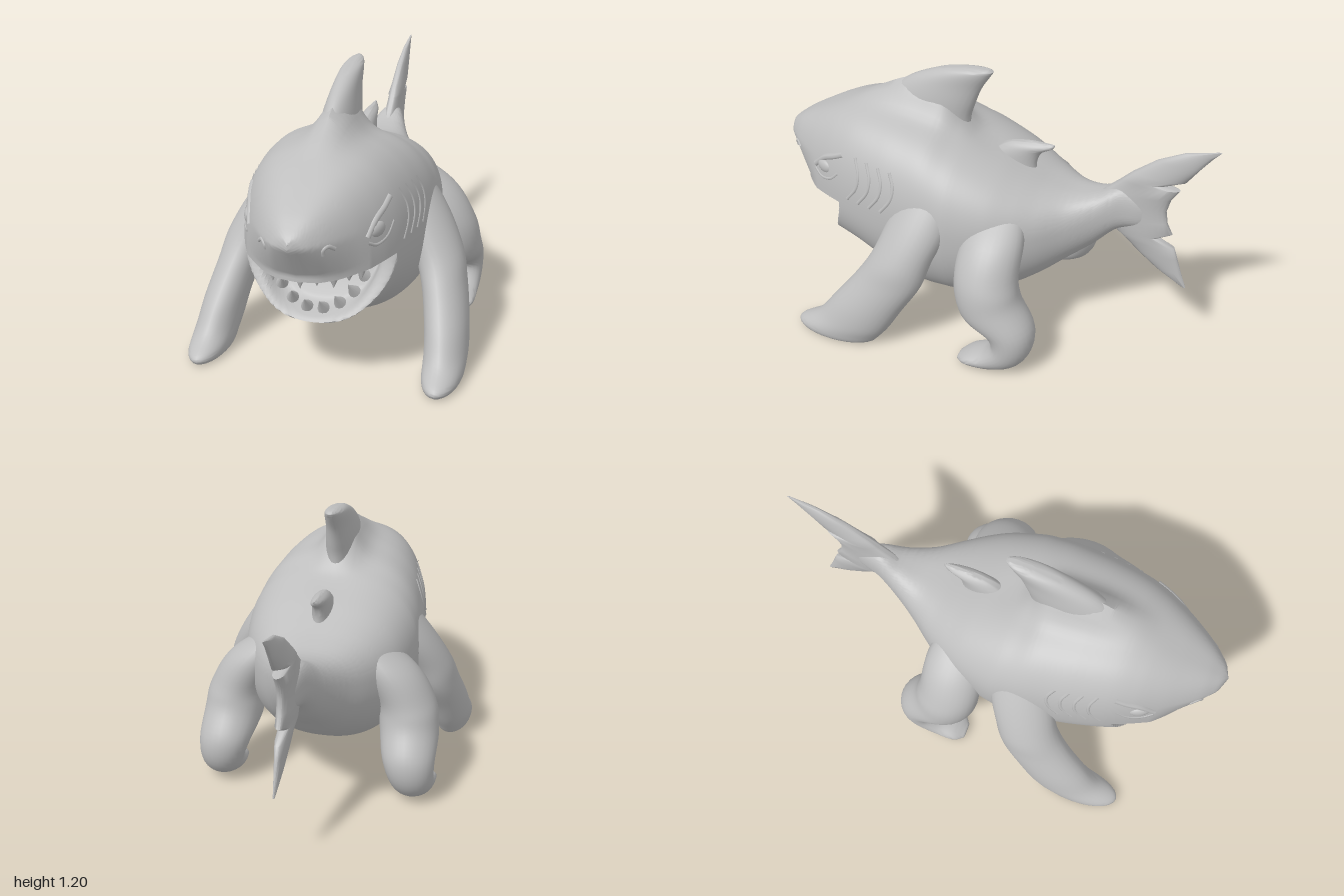
import * as THREE from 'three';
import { toCreasedNormals } from 'three/addons/utils/BufferGeometryUtils.js';

const skinGrey = new THREE.MeshStandardMaterial({ color: 0xbebebe });
skinGrey.name = 'skin grey';
const { clamp, smoothstep } = THREE.MathUtils;

// Smooth lookup in rows whose first column is the parameter
function at(rows, t) {
  const n = rows.length;
  let i = 0;
  while (i < n - 2 && t > rows[i + 1][0]) i++;
  const a = rows[i], b = rows[i + 1], p = rows[Math.max(i - 1, 0)], q = rows[Math.min(i + 2, n - 1)];
  const h = b[0] - a[0], s = clamp((t - a[0]) / h, 0, 1);
  return a.map((v, k) => {
    const m0 = (b[k] - p[k]) / (b[0] - p[0]) * h, m1 = (q[k] - a[k]) / (q[0] - a[0]) * h;
    return v + s * m0 + s * s * (3 * (b[k] - v) - 2 * m0 - m1) + s * s * s * (2 * (v - b[k]) + m0 + m1);
  });
}

// Closed rings of points joined into a surface that faces outwards
function skin(rings, caps, crease) {
  const m = rings[0].length, pos = rings.flat(2), idx = [];
  for (let i = 0; i < rings.length - 1; i++) {
    for (let j = 0; j < m; j++) {
      const a = i * m + j, b = i * m + (j + 1) % m;
      idx.push(a, b, a + m, b, b + m, a + m);
    }
  }
  if (caps) {
    [0, rings.length - 1].forEach((r) => {
      const c = pos.length / 3;
      for (let k = 0; k < 3; k++) pos.push(rings[r].reduce((s, p) => s + p[k], 0) / m);
      for (let j = 0; j < m; j++) {
        const a = r * m + j, b = r * m + (j + 1) % m;
        idx.push(...(r ? [a, b, c] : [b, a, c]));
      }
    });
  }
  const P = (i) => new THREE.Vector3().fromArray(pos, i * 3);
  let volume = 0;
  for (let i = 0; i < idx.length; i += 3) volume += P(idx[i]).dot(P(idx[i + 1]).cross(P(idx[i + 2])));
  if (volume < 0) idx.reverse();
  const g = new THREE.BufferGeometry();
  g.setAttribute('position', new THREE.Float32BufferAttribute(pos, 3));
  g.setIndex(idx);
  return toCreasedNormals(g, crease);
}

// Elliptical sections [x, y, z, half width, half depth, pitch]; never dips below the floor
function loft(sections, side = 1, smooth = 6) {
  const rows = sections.map((s, i) => [i, ...s]), rings = [];
  for (let i = 0; i <= (rows.length - 1) * smooth; i++) {
    const [, x, y, z, rx, r, pitch] = at(rows, i / smooth);
    rings.push(Array.from({ length: 28 }, (_, j) => {
      const a = j / 28 * Math.PI * 2, c = Math.cos(a) * rx, s = Math.sin(a) * r;
      return [side * (x + c), Math.max(0, y + s * Math.sin(pitch)), z + s * Math.cos(pitch)];
    }));
  }
  return skin(rings, true, 1.1);
}

// Fin sections [y, leading z, trailing z, half thickness]
const fin = (rows, smooth) =>
  loft(rows.map(([y, f, b, t]) => [0, y, (f + b) / 2, t, (f - b) / 2, 0]), 1, smooth);

// Body profile: [z, top, mouth level, bottom, half width, crest height]
const PROFILE = [
  [-0.78, 0.71, 0.66, 0.62, 0, 0], [-0.7, 0.745, 0.66, 0.6, 0.035, 0], [-0.6, 0.775, 0.66, 0.57, 0.065, 0],
  [-0.5, 0.735, 0.62, 0.47, 0.11, 0], [-0.4, 0.72, 0.58, 0.385, 0.17, 0], [-0.3, 0.74, 0.56, 0.30, 0.245, 0],
  [-0.2, 0.78, 0.55, 0.23, 0.31, 0], [-0.1, 0.825, 0.55, 0.175, 0.355, 0], [0.05, 0.885, 0.55, 0.135, 0.39, 0],
  [0.12, 0.91, 0.55, 0.13, 0.392, 0.05], [0.2, 0.94, 0.55, 0.13, 0.39, 0.15], [0.3, 0.955, 0.555, 0.15, 0.38, 0.15],
  [0.4, 0.965, 0.56, 0.185, 0.367, 0.12], [0.55, 0.965, 0.57, 0.255, 0.335, 0.045],
  [0.65, 0.945, 0.57, 0.275, 0.3, 0.01], [0.73, 0.915, 0.565, 0.285, 0.262, 0], [0.8, 0.88, 0.56, 0.36, 0.225, 0],
  [0.9, 0.825, 0.55, 0.48, 0.16, 0], [0.95, 0.79, 0.547, 0.52, 0.115, 0], [0.98, 0.765, 0.545, 0.535, 0.075, 0],
  [1, 0.74, 0.545, 0.545, 0, 0],
];
const lipZ = (y) => 0.6 + 0.13 * clamp((0.57 - y) / 0.285, 0, 1) ** 1.6;
const bend = (v, e) => Math.sign(v) * Math.abs(v) ** e;
// The underside of the snout slopes back to the upper lip
const slope = (z, y) => z - clamp((z - 0.75) / 0.25, 0, 1) * clamp((0.72 - y) / 0.15, 0, 1) * 0.1;

// Point on the flank above the mouth level
function flank(side, z, y, out) {
  const [, top, mid, , w] = at(PROFILE, z);
  const s = clamp((y - mid) / (top - mid), 0, 1) ** (1 / 0.9);
  return new THREE.Vector3(side * (w * (1 - s * s) ** 0.35 + out), y, slope(z, y));
}

// Body whose lower front is folded back behind a thick lip to open the mouth
function bodyGeometry() {
  const rings = [], N = 64;
  for (let i = 0; i <= 178; i++) {
    const z = -0.78 + i * 0.01, [, top, mid, bottom, w, crest] = at(PROFILE, z), ring = [];
    for (let j = 0; j <= N; j++) {
      const a = j / N * Math.PI, x = w * bend(Math.cos(a), 0.7);
      const y = mid + (top - mid) * Math.abs(Math.sin(a)) ** 0.9;
      ring.push([x, y + crest * Math.exp(-((x / 0.08) ** 2)), slope(z, y)]);
    }
    for (let j = 0; j <= N; j++) {
      const a = j / N * Math.PI, y = mid - (mid - bottom) * Math.abs(Math.sin(a)) ** 0.9;
      const lip = lipZ(y), past = z - lip, squeeze = 1 - 0.16 * smoothstep(past, 0, 0.04);
      ring.push([-w * squeeze * bend(Math.cos(a), 0.85), y,
        past > 0 ? lip - 0.09 * smoothstep(past, 0.02, 0.08) : z]);
    }
    rings.push(ring);
  }
  return skin(rings, false, 0.9);
}

export function createModel() {
  const model = new THREE.Group();
  model.name = 'walkingShark';
  const add = (name, geometry) => {
    const mesh = new THREE.Mesh(geometry, skinGrey);
    mesh.name = name;
    model.add(mesh);
    return mesh;
  };
  const ridge = (name, points, r) =>
    add(name, new THREE.TubeGeometry(new THREE.CatmullRomCurve3(points), 16, r, 8));

  add('body', bodyGeometry());

  // Fins on the back and the notched tail
  add('dorsalFin', fin([
    [0.85, 0.5, 0.1, 0.07], [0.95, 0.5, 0.095, 0.075], [1.02, 0.47, 0.075, 0.07], [1.1, 0.38, 0.045, 0.056],
    [1.165, 0.24, 0.005, 0.045], [1.19, 0.13, -0.01, 0.03], [1.2, 0.05, 0.0, 0.005]], 6));
  add('rearDorsalFin', fin([
    [0.74, 0.03, -0.215, 0.05], [0.8, 0.01, -0.215, 0.045], [0.85, -0.04, -0.235, 0.038],
    [0.88, -0.09, -0.285, 0.028], [0.9, -0.17, -0.295, 0.006]], 5));
  add('tailFin', fin([
    [0.33, -0.9, -0.915, 0.004], [0.4, -0.78, -0.89, 0.014], [0.47, -0.69, -0.868, 0.022],
    [0.525, -0.63, -0.85, 0.028], [0.557, -0.59, -0.775, 0.032], [0.59, -0.56, -0.835, 0.034],
    [0.64, -0.5, -0.81, 0.036], [0.7, -0.48, -0.8, 0.036], [0.76, -0.535, -0.815, 0.036],
    [0.815, -0.595, -0.85, 0.034], [0.825, -0.605, -0.785, 0.034], [0.86, -0.64, -0.87, 0.03],
    [0.94, -0.74, -0.925, 0.022], [1, -0.855, -0.97, 0.012], [1.033, -0.985, -1, 0.003]], 1));

  for (const side of [1, -1]) {
    const tag = side > 0 ? 'left' : 'right';

    // Flipper-like front legs and bent hind legs
    add(tag + 'FrontLeg', loft([
      [0.2, 0.84, 0.13, 0.06, 0.1, 0], [0.315, 0.62, 0.18, 0.11, 0.14, 0], [0.413, 0.45, 0.24, 0.105, 0.138, 0],
      [0.455, 0.33, 0.295, 0.095, 0.155, 0], [0.487, 0.2, 0.385, 0.092, 0.165, 0], [0.502, 0.1, 0.455, 0.09, 0.175, 0],
      [0.507, 0.04, 0.525, 0.086, 0.2, 0], [0.507, 0.012, 0.54, 0.08, 0.19, 0], [0.507, 0, 0.54, 0.068, 0.165, 0]], side));
    add(tag + 'HindLeg', loft([
      [0.17, 0.71, -0.14, 0.05, 0.08, 0], [0.29, 0.58, -0.14, 0.12, 0.13, 0], [0.38, 0.43, -0.14, 0.125, 0.14, 0],
      [0.4, 0.3, -0.17, 0.13, 0.14, -0.35], [0.415, 0.2, -0.265, 0.115, 0.11, -0.1],
      [0.43, 0.11, -0.26, 0.097, 0.088, 0.7], [0.435, 0.05, -0.18, 0.087, 0.055, 1.4],
      [0.442, 0.03, -0.09, 0.075, 0.03, 1.57], [0.45, 0.018, -0.045, 0.035, 0.012, 1.57]], side));

    // Eye under an angry brow
    const eye = add(tag + 'Eye', new THREE.SphereGeometry(1, 20, 14));
    eye.scale.set(0.02, 0.032, 0.046);
    eye.position.copy(flank(side, 0.69, 0.705, -0.009));
    eye.rotation.y = -side * 0.4;
    ridge(tag + 'Brow', [[0.58, 0.8], [0.63, 0.775], [0.69, 0.745], [0.75, 0.69]]
      .map(([z, y]) => flank(side, z, y, -0.008)), 0.016);
    ridge(tag + 'EyeFold', [[0.6, 0.71], [0.65, 0.665], [0.71, 0.65], [0.75, 0.67]]
      .map(([z, y]) => flank(side, z, y, -0.006)), 0.009);

    // Gill folds
    [0.51, 0.45, 0.39, 0.33].forEach((z, i) => ridge(tag + 'Gill' + (i + 1),
      [[0, 0.81 - i * 0.005], [-0.025, 0.74], [-0.015, 0.68], [0.035, 0.61]]
        .map(([dz, y]) => flank(side, z + dz, y, -0.006)), 0.01));

    // Nostril fold
    ridge(tag + 'Nostril', [[0.89, 0.695], [0.91, 0.712], [0.93, 0.7], [0.935, 0.68]]
      .map(([z, y]) => flank(side, z, y, -0.006)), 0.01);
  }

  // Teeth: cones along both jaws
  const tooth = (name, x, y, z, dir, r, h) => {
    const mesh = add(name, new THREE.ConeGeometry(r, h, 10));
    const d = new THREE.Vector3(...dir).normalize();
    mesh.quaternion.setFromUnitVectors(new THREE.Vector3(0, 1, 0), d);
    mesh.position.set(x, y, z).addScaledVector(d, h / 2);
  };
  for (let i = -5; i <= 5; i++) {
    const a = i / 5 * 1.45;
    tooth('upperTooth', 0.225 * Math.sin(a), 0.57, 0.62 + 0.23 * Math.cos(a), [0, -1, 0.08],
      0.032, i % 2 ? 0.06 : 0.075);
  }
  for (let i = 0; i < 8; i++) {
    const a = 0.35 + i / 7 * (Math.PI - 0.7);
    const x = 0.2 * Math.cos(a), y = 0.52 - 0.2 * Math.sin(a);
    tooth('lowerTooth', x, y, lipZ(y) - 0.035, [-x, 0.5, 0.45], 0.026, 0.07);
  }
  return model;
}
